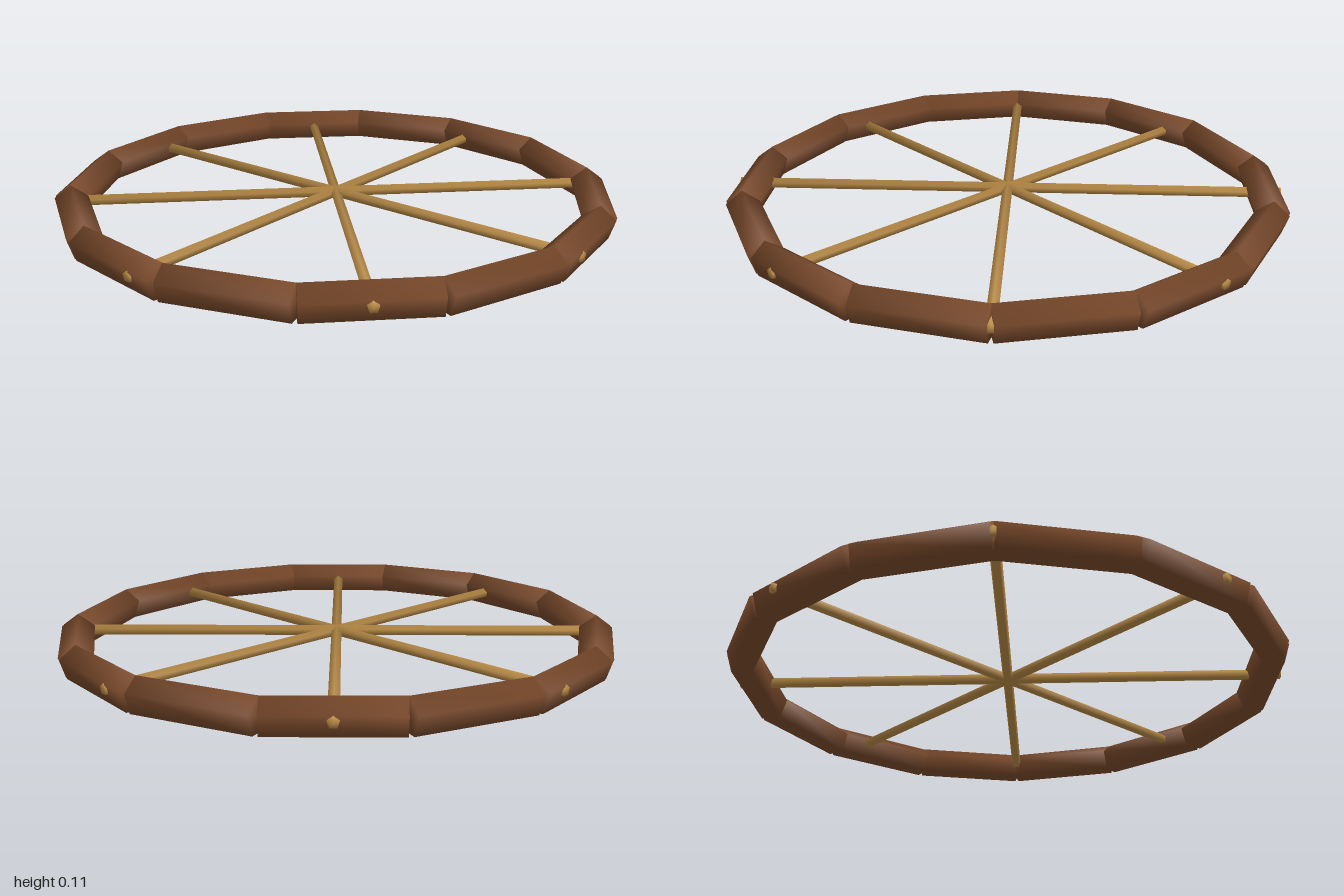
import * as THREE from 'three';

const SIDES = 5;
const RIM_COUNT = 14;
const RIM_DISTANCE = 0.92; // centre of the wheel to the middle of a rim log

// Five-sided bar lying along x with a ridge on top; normals are rounded over its ends
function barGeometry(radius, length) {
  const geometry = new THREE.CylinderGeometry(radius, radius, length, SIDES);
  geometry.rotateY(-Math.PI / 2);
  geometry.rotateZ(Math.PI / 2);
  geometry.rotateX(Math.PI);
  // turn the ridge (one corner of the section) to face straight up
  const p = geometry.attributes.position;
  geometry.rotateX(Math.atan2(p.getZ(0), p.getY(0)) * -1 + 0);
  if (Math.abs(p.getY(0) - radius) > 1e-4) {
    geometry.rotateX(2 * Math.atan2(p.getZ(0), p.getY(0)) * -0.5);
  }
  const n = geometry.attributes.normal;
  const v = new THREE.Vector3();
  for (let i = 0; i < p.count; i++) {
    v.set(Math.sign(p.getX(i)) * 0.7, p.getY(i) / radius, p.getZ(i) / radius).normalize();
    n.setXYZ(i, v.x, v.y, v.z);
  }
  return geometry;
}

export function createModel() {
  const wheel = new THREE.Group();
  wheel.name = 'wheel';

  const darkWood = new THREE.MeshStandardMaterial({ color: 0x7a4a2b });
  darkWood.name = 'dark wood';
  const paleWood = new THREE.MeshStandardMaterial({ color: 0xb88a45 });
  paleWood.name = 'pale wood';

  // Rim: straight logs set end to end around the wheel
  const rim = new THREE.Group();
  rim.name = 'rim';
  const logGeometry = barGeometry(0.061, 0.42);
  for (let i = 0; i < RIM_COUNT; i++) {
    const angle = (i / RIM_COUNT) * Math.PI * 2;
    const log = new THREE.Mesh(logGeometry, darkWood);
    log.name = 'rimLog';
    log.position.set(Math.sin(angle) * RIM_DISTANCE, 0.0494, Math.cos(angle) * RIM_DISTANCE);
    log.rotation.y = angle;
    rim.add(log);
  }
  wheel.add(rim);

  // Spokes: four long bars crossing at the centre, ends poking through the rim
  const spokes = new THREE.Group();
  spokes.name = 'spokes';
  const spokeGeometry = barGeometry(0.019, 1.97);
  for (let i = 0; i < 4; i++) {
    const spoke = new THREE.Mesh(spokeGeometry, paleWood);
    spoke.name = 'spoke';
    spoke.position.y = 0.052;
    spoke.rotation.y = (i * Math.PI) / 4;
    spokes.add(spoke);
  }
  wheel.add(spokes);

  return wheel;
}
